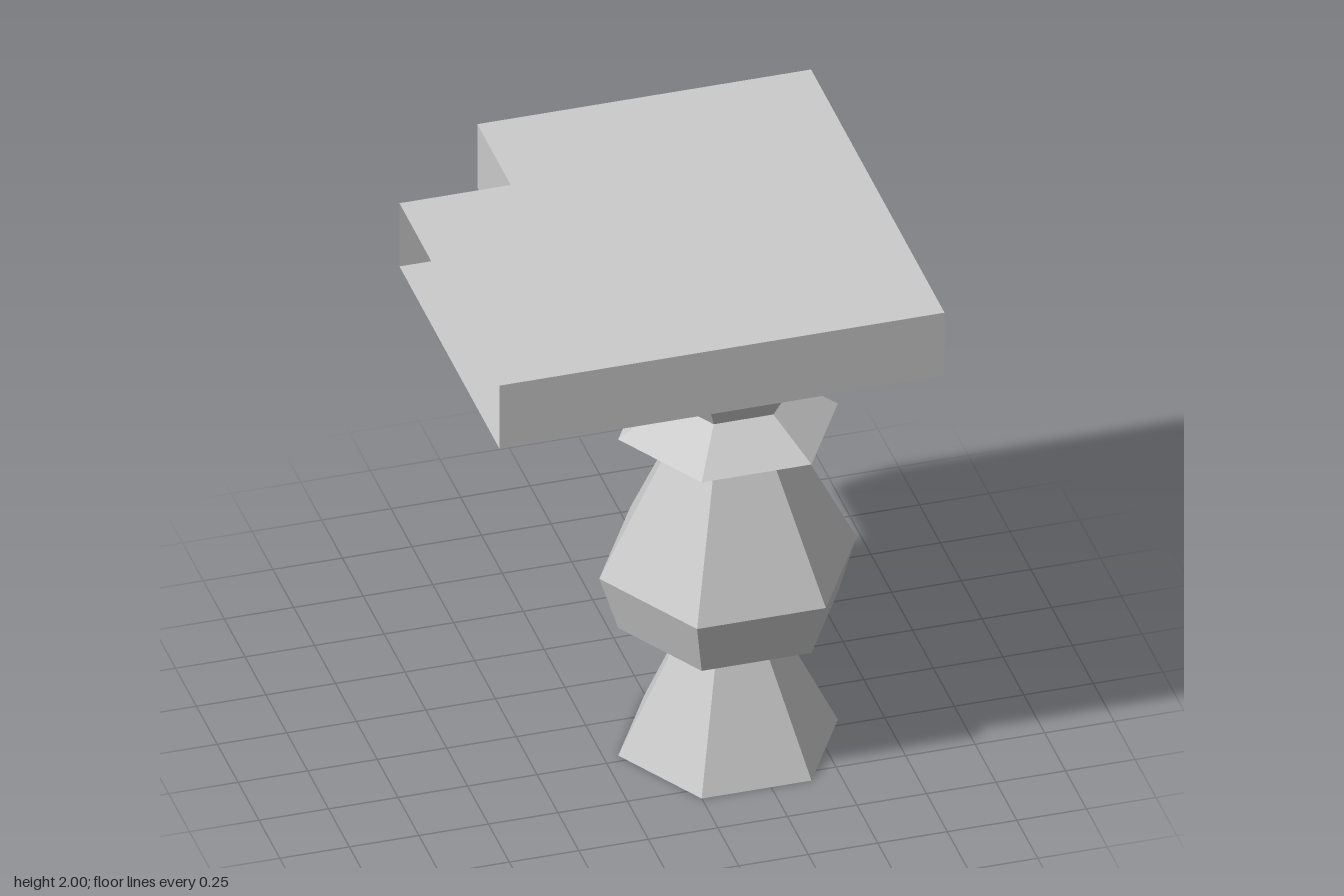
import * as THREE from 'three';

const TOP = 2, UNDER = 1.74;

export function createModel() {
  const group = new THREE.Group();
  const material = new THREE.MeshStandardMaterial({
    color: 0xcccccc, flatShading: true, side: THREE.DoubleSide,
  });
  const add = (name, geometry, x = 0, y = 0, z = 0, turn = 0) => {
    const mesh = new THREE.Mesh(geometry, material);
    mesh.name = name;
    mesh.position.set(x, y, z);
    mesh.rotation.y = turn;
    group.add(mesh);
  };

  // Six-sided turned baluster, an open shell set off-centre
  const profile = [
    [0.395, 0], [0.19, 0.42], [0.395, 0.525], [0.463, 0.74],
    [0.215, 1.23], [0.395, 1.3], [0.215, 1.425], [0.395, UNDER],
  ].map(([r, y]) => new THREE.Vector2(r, y));
  add('baluster', new THREE.LatheGeometry(profile, 6, Math.PI / 2), 0.197, 0, 0.215);

  // L-shaped rail slab: upper and lower sheets, with one corner notched
  const outline = [[-0.8, 0.8], [0.8, 0.8], [0.8, -0.8], [-0.4, -0.8], [-0.4, -0.4], [-0.8, -0.4]];
  const sheet = (facing) => new THREE.ShapeGeometry(
    new THREE.Shape(outline.map(([x, z]) => new THREE.Vector2(x, -z * facing)))
  ).rotateX(-facing * Math.PI / 2);
  add('railTop', sheet(1), 0, TOP);
  add('railUnderside', sheet(-1), 0, UNDER);

  // Outer and notch walls; the two ends that meet neighbouring rails stay open
  const wall = (name, length, x, z, turn) => add(
    name, new THREE.PlaneGeometry(length, TOP - UNDER), x, (TOP + UNDER) / 2, z, turn);
  wall('railFrontWall', 1.6, 0, 0.8, 0);
  wall('railLeftWall', 1.6, 0.8, 0, Math.PI / 2);
  wall('notchSideWall', 0.4, -0.4, -0.6, -Math.PI / 2);
  wall('notchBackWall', 0.4, -0.6, -0.4, Math.PI);

  return group;
}
